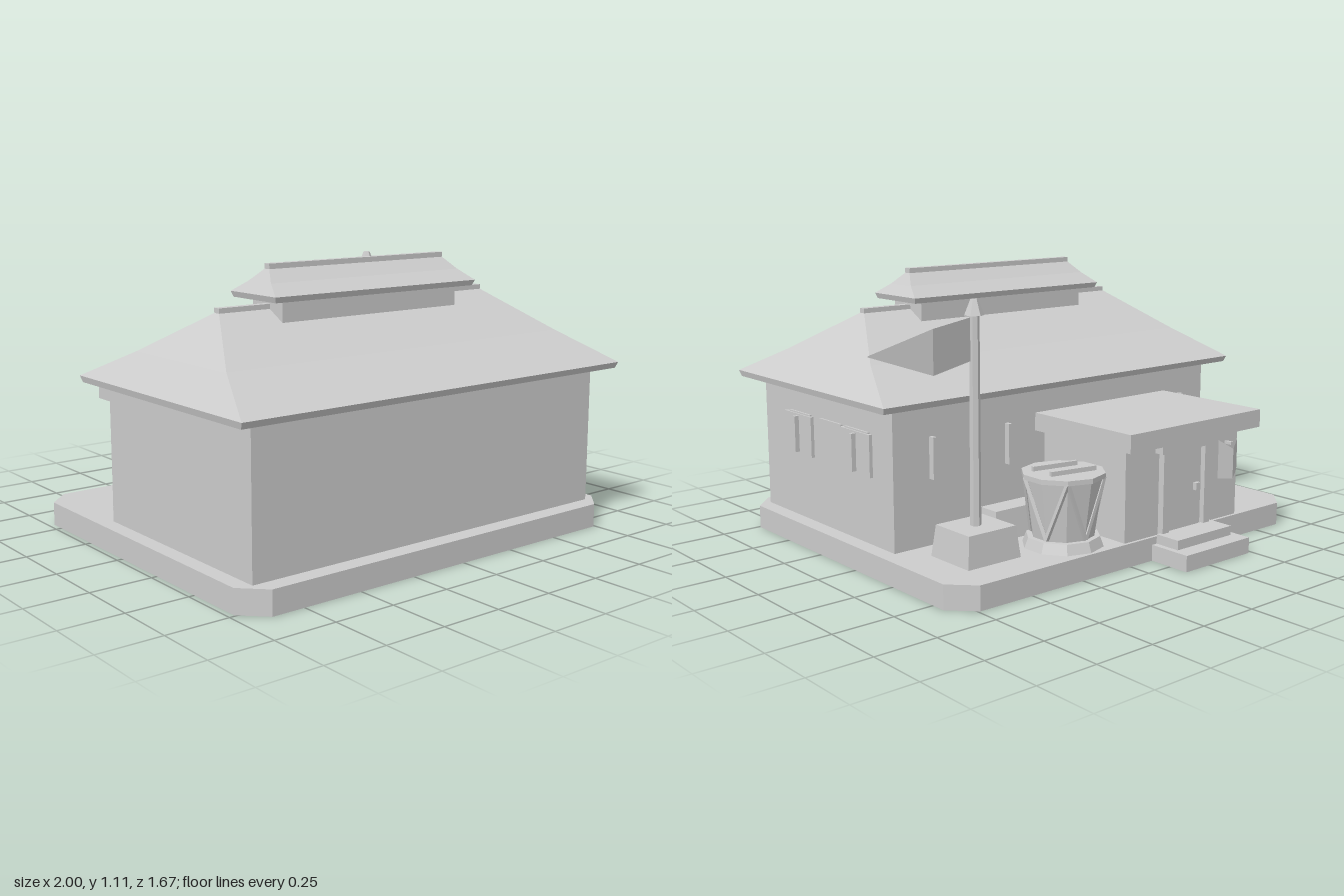
import * as THREE from 'three';

const grey = new THREE.MeshStandardMaterial({ color: 0xcccccc, side: THREE.DoubleSide });
grey.name = 'plainGrey';

export function createModel() {
  const model = new THREE.Group();
  model.name = 'hall';

  const group = (name) => {
    const g = new THREE.Group();
    g.name = name;
    model.add(g);
    return g;
  };

  const add = (geo, name, parent = model) => {
    const g = geo.index ? geo.toNonIndexed() : geo;
    g.computeVertexNormals(); // faceted look
    const mesh = new THREE.Mesh(g, grey);
    mesh.name = name;
    parent.add(mesh);
    return mesh;
  };

  const addFaces = (pos, idx, name, parent) => {
    const g = new THREE.BufferGeometry();
    g.setAttribute('position', new THREE.Float32BufferAttribute(pos, 3));
    g.setIndex(idx);
    return add(g, name, parent);
  };

  // Box given by its limits on each axis
  const box = (name, x0, x1, y0, y1, z0, z1, parent) => {
    const g = new THREE.BoxGeometry(x1 - x0, y1 - y0, z1 - z0);
    g.translate((x0 + x1) / 2, (y0 + y1) / 2, (z0 + z1) / 2);
    return add(g, name, parent);
  };

  // Shell, open below, through stacked rectangles [halfX, halfZ, y] around a centre
  const loft = (name, cx, cz, rects, parent) => {
    const pos = [], idx = [];
    rects.forEach(([hx, hz, y]) => {
      pos.push(cx - hx, y, cz + hz, cx + hx, y, cz + hz, cx + hx, y, cz - hz, cx - hx, y, cz - hz);
    });
    for (let r = 0; r < rects.length - 1; r++) {
      for (let i = 0; i < 4; i++) {
        const a = r * 4 + i, b = r * 4 + (i + 1) % 4;
        idx.push(a, b, b + 4, a, b + 4, a + 4);
      }
    }
    const t = (rects.length - 1) * 4;
    idx.push(t, t + 1, t + 2, t, t + 2, t + 3);
    return addFaces(pos, idx, name, parent);
  };

  // Upright strip from columns [x, z, bottomY, topY]
  const strip = (name, cols, parent) => {
    const pos = [], idx = [];
    cols.forEach(([x, z, y0, y1], i) => {
      pos.push(x, y0, z, x, y1, z);
      const a = i * 2;
      if (i < cols.length - 1) idx.push(a, a + 2, a + 3, a, a + 3, a + 1);
    });
    return addFaces(pos, idx, name, parent);
  };

  // Hollow platform with cut corners: a deck and a skirt
  const platform = group('platform');
  const deckY = 0.095;
  const [x0, x1, z0, z1, c] = [-0.977, 0.833, -0.653, 0.833, 0.092];
  const corners = [
    [x0 + c, z1], [x1 - c, z1], [x1, z1 - c], [x1, z0 + c],
    [x1 - c, z0], [x0 + c, z0], [x0, z0 + c], [x0, z1 - c]];
  const deck = new THREE.ShapeGeometry(new THREE.Shape(corners.map(([x, z]) => new THREE.Vector2(x, -z))));
  deck.rotateX(-Math.PI / 2);
  add(deck, 'deck', platform).position.y = deckY;
  strip('skirt', [...corners, corners[0]].map(([x, z]) => [x, z, 0, deckY]), platform);

  // Main hall and its two-tier hipped roof
  const cx = -0.073, cz = 0.294;
  box('hallWalls', -0.915, 0.769, deckY, 0.7, -0.173, 0.762);
  loft('mainRoof', cx, cz, [
    [0.921, 0.528, 0.647], [0.927, 0.54, 0.672], [0.817, 0.295, 0.786], [0.657, 0.015, 0.943]]);
  box('mainRidge', -0.73, 0.584, 0.938, 0.962, 0.279, 0.309);
  box('upperWalls', -0.506, 0.36, 0.8, 1.015, 0.202, 0.387);
  loft('upperRoof', cx, cz, [
    [0.492, 0.133, 0.979], [0.499, 0.141, 1.001], [0.467, 0.07, 1.043], [0.434, 0.015, 1.089]]);
  box('upperRidge', -0.507, 0.361, 1.085, 1.109, 0.279, 0.309);

  // Side windows with slats
  const windows = group('sideWindows');
  for (const z of [0.478, 0.248, 0.06]) box('windowPane', 0.765, 0.777, 0.395, 0.536, z - 0.08, z + 0.08, windows);
  for (const z of [0.484, 0.063]) {
    box('shutter', 0.765, 0.783, 0.363, 0.53, z - 0.101, z + 0.101, windows);
    box('windowSlat', 0.78, 0.802, 0.373, 0.522, z - 0.008, z + 0.008, windows);
  }

  // Narrow slats on the back wall
  for (const x of [0.595, 0.225, -0.765]) box('backSlat', x - 0.008, x + 0.008, 0.358, 0.522, -0.2, -0.168);

  // Rear porch
  const porch = group('porch');
  box('porchWalls', -0.62, 0.023, deckY, 0.475, -0.64, -0.168, porch);
  box('porchRoof', -0.671, 0.074, 0.47, 0.543, -0.715, -0.168, porch);
  box('doorPanel', -0.405, -0.185, 0.103, 0.43, -0.645, -0.635, porch);
  for (const x of [-0.415, -0.178]) box('doorPost', x - 0.018, x + 0.018, deckY, 0.432, -0.667, -0.635, porch);
  box('doorLintel', -0.455, -0.137, 0.428, 0.465, -0.68, -0.635, porch);
  box('doorHandle', -0.38, -0.355, 0.245, 0.275, -0.662, -0.64, porch);
  loft('upperStep', -0.297, -0.709, [[0.155, 0.056, 0.065], [0.155, 0.056, 0.103]], porch);
  loft('lowerStep', -0.2995, -0.744, [[0.1825, 0.091, 0], [0.1825, 0.091, 0.065]], porch);
  box('bannerBracket', -0.556, -0.544, 0.405, 0.417, -0.675, -0.635, porch);
  strip('banner', [[-0.605, -0.655, 0.29, 0.42], [-0.55, -0.683, 0.265, 0.39],
    [-0.49, -0.655, 0.27, 0.43]], porch);

  // Tapered blocks beside the wall
  for (const x of [0.262, -0.712]) loft('wallBlock', x, -0.25, [[0.13, 0.062, deckY], [0.118, 0.048, 0.213]]);

  // Flagpole
  const flagpole = group('flagpole');
  const px = 0.554, pz = -0.392;
  loft('poleBase', px, pz, [[0.123, 0.113, deckY], [0.11, 0.1, 0.217]], flagpole);
  add(new THREE.CylinderGeometry(0.019, 0.021, 0.8, 6), 'pole', flagpole).position.set(px, 0.61, pz);
  add(new THREE.CylinderGeometry(0.014, 0.037, 0.058, 6), 'poleCap', flagpole).position.set(px, 1.028, pz);
  strip('pennant', [[px, -0.385, 0.835, 0.993],
    [0.77, -0.435, 0.808, 0.973], [1.0, -0.375, 0.89, 0.894]], flagpole);

  // Drum with zigzag lacing and two sticks
  const drum = group('drum');
  drum.position.set(0.2, 0, -0.482);
  const sides = 10;
  const ring = (name, top, bottom, y0, y1) =>
    add(new THREE.CylinderGeometry(top, bottom, y1 - y0, sides), name, drum).position.y = (y0 + y1) / 2;
  ring('drumFoot', 0.145, 0.16, deckY, 0.135);
  ring('drumBody', 0.157, 0.122, 0.13, 0.37);
  ring('drumRim', 0.164, 0.164, 0.365, 0.384);
  const up = new THREE.Vector3(0, 1, 0);
  for (let i = 0; i < sides; i++) {
    const point = (k) => {
      const a = k * 2 * Math.PI / sides, r = k % 2 ? 0.125 : 0.157;
      return new THREE.Vector3(Math.sin(a) * r, k % 2 ? 0.14 : 0.37, Math.cos(a) * r);
    };
    const a = point(i), d = point(i + 1).sub(a);
    const lace = add(new THREE.BoxGeometry(0.014, d.length(), 0.014), 'drumLace', drum);
    lace.position.copy(a).addScaledVector(d, 0.5);
    lace.quaternion.setFromUnitVectors(up, d.normalize());
  }
  for (const z of [0.049, -0.056]) {
    const stick = add(new THREE.BoxGeometry(0.2, 0.018, 0.014), 'drumStick', drum);
    stick.position.set(0, 0.394, z);
    stick.rotation.y = -0.17;
  }
  return model;
}
